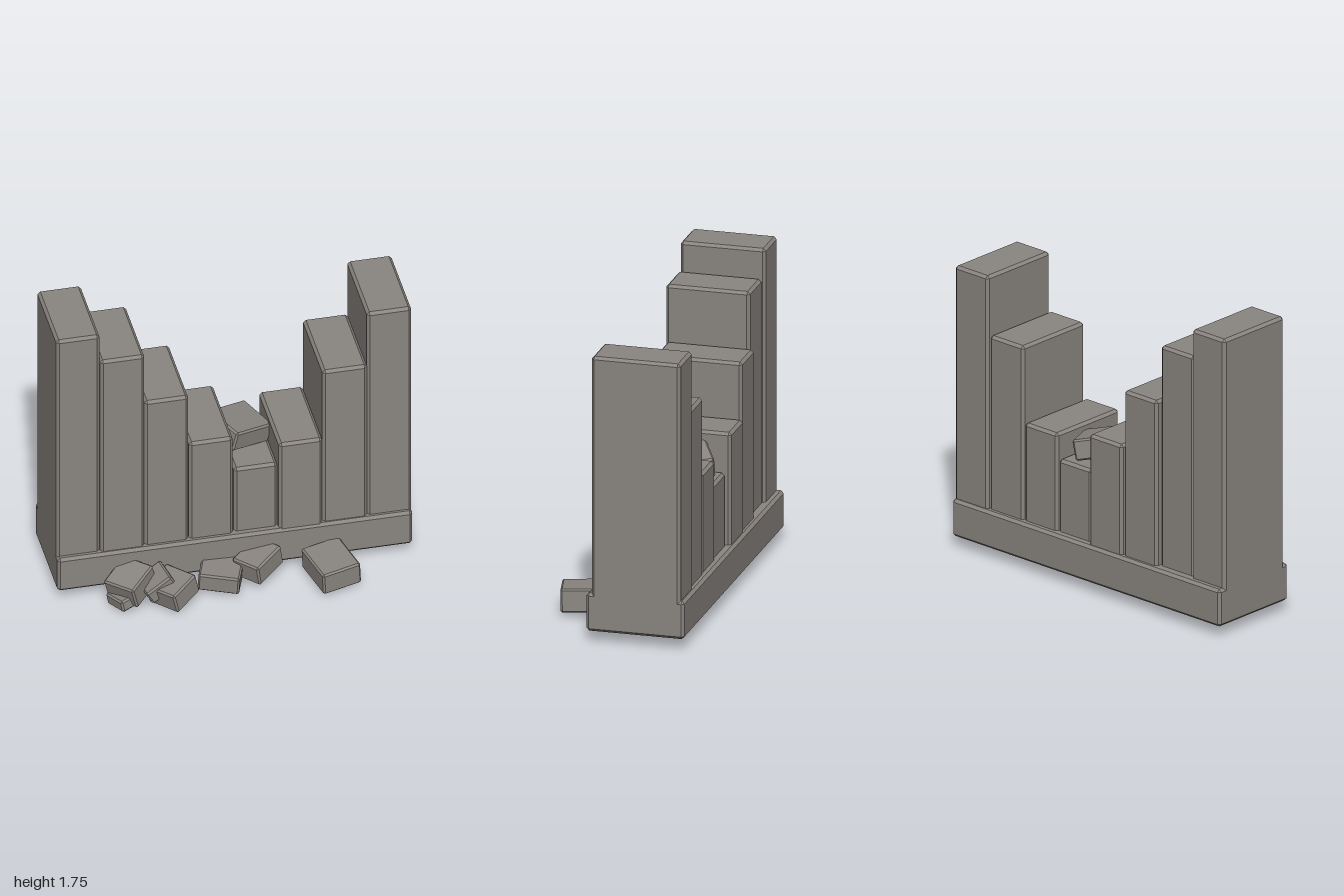
import * as THREE from 'three';
import { ConvexGeometry } from 'three/addons/geometries/ConvexGeometry.js';

const stone = new THREE.MeshStandardMaterial({ color: 0x8a8580 });
stone.name = 'stone grey';

// Box with chamfered edges, centred on its own origin
function chamferBox(w, h, d, b) {
  const points = [];
  for (const x of [-w / 2, w / 2])
    for (const y of [-h / 2, h / 2])
      for (const z of [-d / 2, d / 2]) {
        const ix = x - Math.sign(x) * b, iy = y - Math.sign(y) * b, iz = z - Math.sign(z) * b;
        points.push(
          new THREE.Vector3(x, iy, iz),
          new THREE.Vector3(ix, y, iz),
          new THREE.Vector3(ix, iy, z));
      }
  return new ConvexGeometry(points);
}

// Block given by its minimum and maximum corners
function block(name, [x0, y0, z0], [x1, y1, z1], bevel) {
  const mesh = new THREE.Mesh(chamferBox(x1 - x0, y1 - y0, z1 - z0, bevel), stone);
  mesh.position.set((x0 + x1) / 2, (y0 + y1) / 2, (z0 + z1) / 2);
  mesh.name = name;
  return mesh;
}

export function createModel() {
  const model = new THREE.Group();
  model.name = 'brokenWall';

  // Footing
  model.add(block('base', [-1, 0.075, -0.43], [1, 0.295, 0.13], 0.016));

  // Upright slabs: left edge, right edge, top, back, front
  const slabs = [
    [-1, -0.755, 1.765, -0.39, 0.097],
    [-0.755, -0.505, 1.595, -0.372, 0.108],
    [-0.503, -0.256, 1.27, -0.4, 0.1],
    [-0.252, -0.005, 0.945, -0.41, 0.098],
    [0.003, 0.248, 0.72, -0.38, 0.087],
    [0.25, 0.495, 0.87, -0.39, 0.118],
    [0.498, 0.75, 1.32, -0.395, 0.107],
    [0.75, 1, 1.67, -0.408, 0.1],
  ];
  const columns = new THREE.Group();
  columns.name = 'columns';
  slabs.forEach(([x0, x1, top, z0, z1], i) =>
    columns.add(block(`column${i + 1}`, [x0, 0.2, z0], [x1, top, z1], 0.016)));
  model.add(columns);

  // Fallen stones: size, centre, then pitch, yaw and roll in degrees
  const stones = [
    [[0.27, 0.12, 0.25], [0.09, 0.805, -0.19], [0, 28, -14]],
    [[0.23, 0.135, 0.28], [0.51, 0.108, 0.265], [2, 13, 3]],
    [[0.22, 0.125, 0.18], [0.12, 0.13, 0.16], [4, 40, 8]],
    [[0.23, 0.11, 0.2], [-0.095, 0.097, 0.19], [4, -20, -2]],
    [[0.2, 0.125, 0.21], [-0.385, 0.1, 0.265], [4, 38, 13]],
    [[0.21, 0.14, 0.2], [-0.605, 0.13, 0.195], [8, 42, 14]],
    [[0.17, 0.09, 0.17], [-0.465, 0.125, 0.225], [5, 8, 30]],
    [[0.14, 0.07, 0.15], [-0.65, 0.062, 0.24], [-5, 25, 10]],
  ];
  const rubble = new THREE.Group();
  rubble.name = 'rubble';
  stones.forEach(([size, centre, angles], i) => {
    const mesh = new THREE.Mesh(chamferBox(...size, 0.01), stone);
    mesh.position.set(...centre);
    mesh.rotation.set(...angles.map(THREE.MathUtils.degToRad), 'ZXY');
    mesh.name = `fallenStone${i + 1}`;
    rubble.add(mesh);
  });
  model.add(rubble);

  return model;
}
